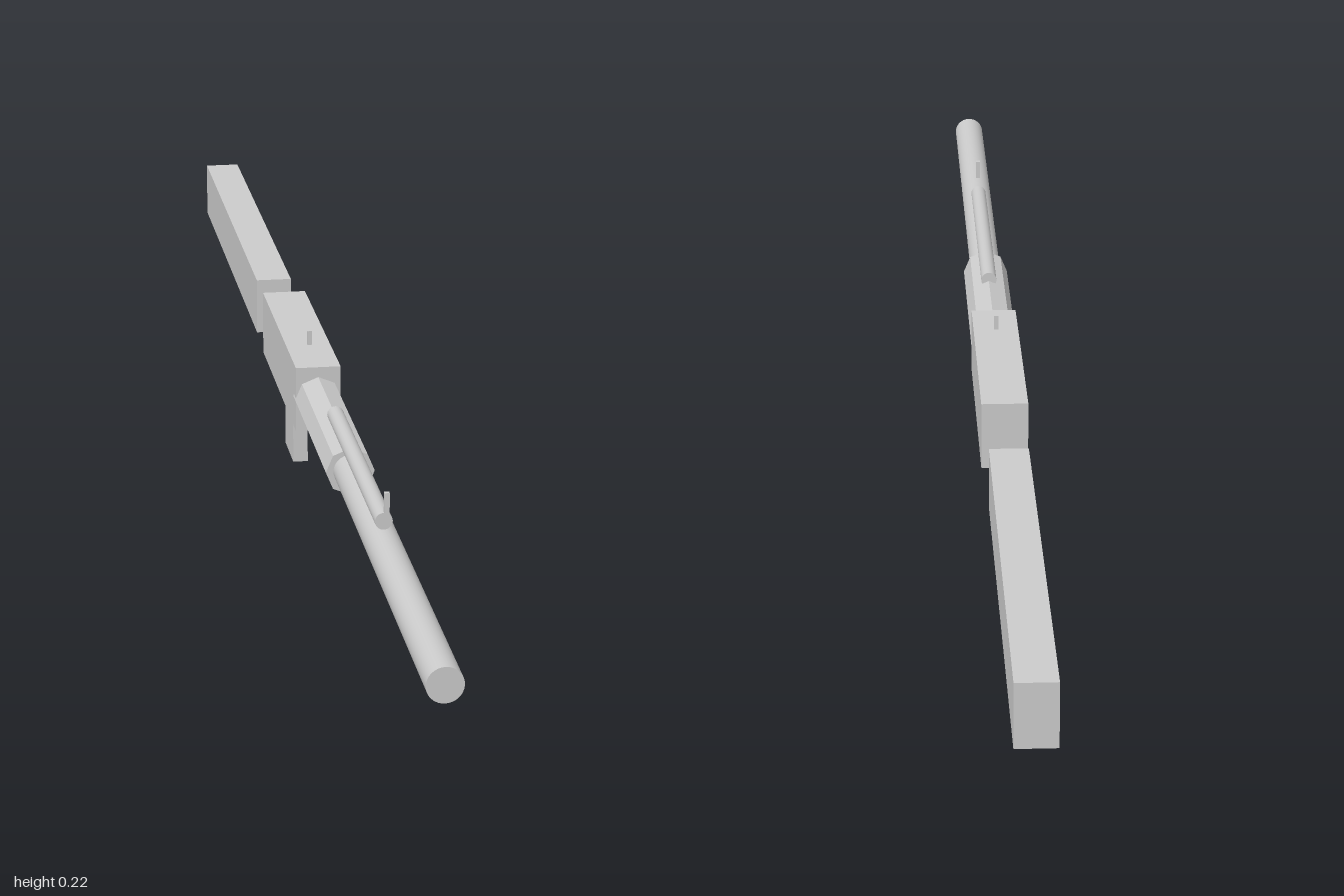
import * as THREE from 'three';

const material = new THREE.MeshStandardMaterial({ color: 0xcccccc });
const flatMaterial = new THREE.MeshStandardMaterial({ color: 0xcccccc, flatShading: true });

export function createModel() {
  const model = new THREE.Group();
  model.name = 'model';

  const add = (name, geometry, mat = material) => {
    const mesh = new THREE.Mesh(geometry, mat);
    mesh.name = name;
    model.add(mesh);
  };

  // Box centred on x = 0, given its width and its y and z limits
  const box = (name, width, y0, y1, z0, z1) =>
    add(name, new THREE.BoxGeometry(width, y1 - y0, z1 - z0)
      .translate(0, (y0 + y1) / 2, (z0 + z1) / 2));

  // Cylinder running along z at height y
  const rod = (name, radius, y, z0, z1, sides, mat) =>
    add(name, new THREE.CylinderGeometry(radius, radius, z1 - z0, sides)
      .rotateX(Math.PI / 2)
      .translate(0, y, (z0 + z1) / 2), mat);

  // Main body, separate rear stock and grip
  box('receiver', 0.059, 0.105, 0.192, -0.262, 0.071);
  box('stock', 0.049, 0.099, 0.177, -1, -0.37);
  box('grip', 0.02, 0, 0.107, -0.174, -0.097);

  // Barrel, octagonal handguard and the thin tube above
  rod('barrel', 0.021, 0.149, 0.07, 1, 32);
  rod('handguard', 0.0305, 0.148, 0.053, 0.346, 8, flatMaterial);
  rod('upperTube', 0.0105, 0.18, 0.222, 0.6, 20);

  // Floating sights
  box('frontSight', 0.006, 0.198, 0.223, 0.616, 0.622);
  box('rearSight', 0.006, 0.197, 0.216, -0.014, -0.008);

  return model;
}
